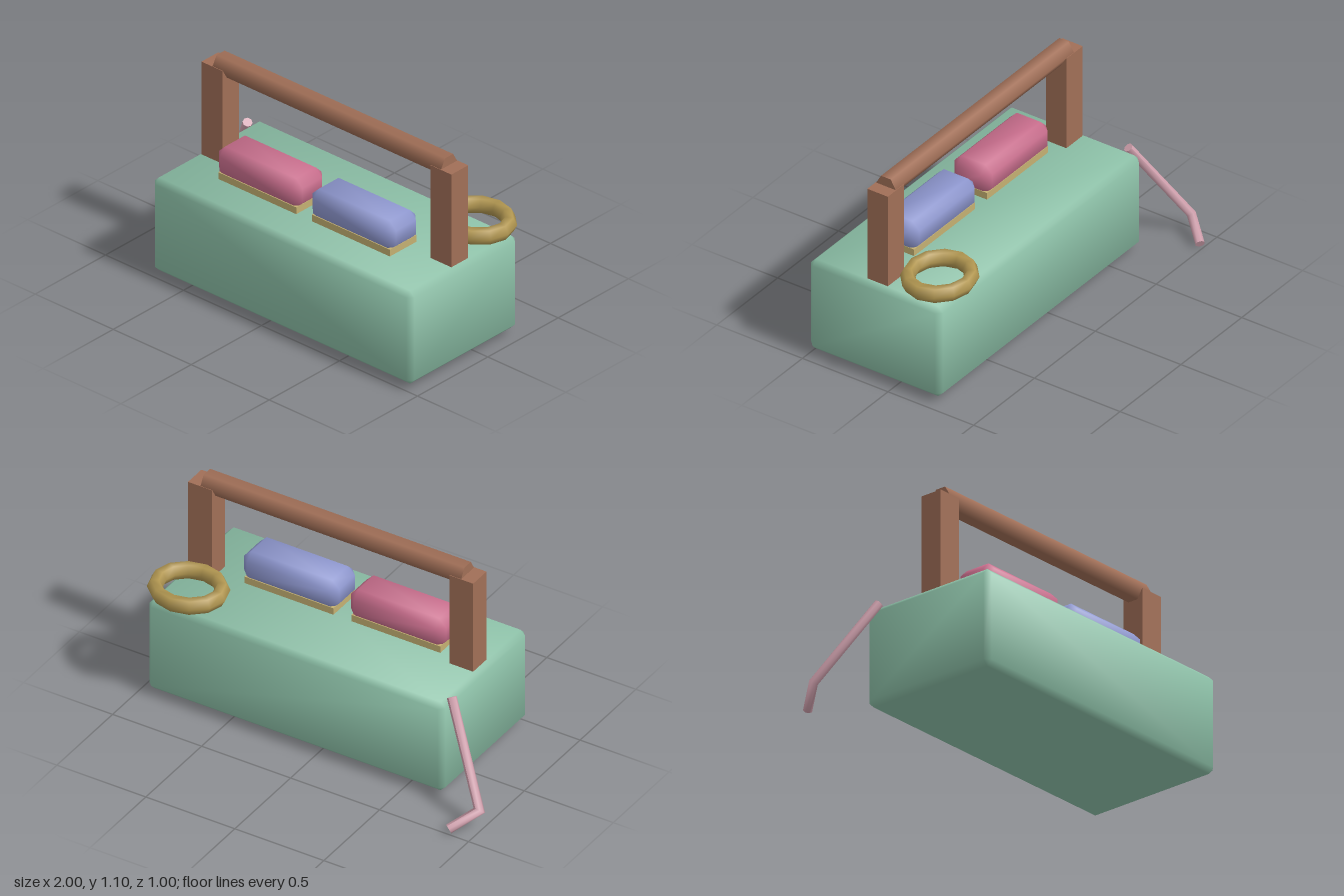
import * as THREE from 'three';
import { ConvexGeometry } from 'three/addons/geometries/ConvexGeometry.js';

const paint = (name, color) => {
  const m = new THREE.MeshStandardMaterial({ color });
  m.name = name;
  return m;
};

// Box with single chamfers and soft blended normals
function chamferBox(size, c) {
  const h = size.map((s) => s / 2);
  const pts = [];
  for (const x of [-1, 1]) for (const y of [-1, 1]) for (const z of [-1, 1])
    for (let k = 0; k < 3; k++)
      pts.push(new THREE.Vector3(...[x, y, z].map((s, i) => s * (h[i] - (i === k ? 0 : c)))));
  const g = new ConvexGeometry(pts);
  const p = g.attributes.position;
  const n = new THREE.Vector3();
  for (let i = 0; i < p.count; i++) {
    const v = [p.getX(i), p.getY(i), p.getZ(i)];
    n.set(...v.map((a, k) => Math.sign(a) * (Math.abs(a) > h[k] - c / 2 ? 1 : 0.39))).normalize();
    g.attributes.normal.setXYZ(i, n.x, n.y, n.z);
  }
  return g;
}

// Bent rod through three points with a mitred elbow
function bentRod(p0, p1, p2, radius, sides) {
  const d1 = p1.clone().sub(p0).normalize();
  const d2 = p2.clone().sub(p1).normalize();
  const miter = d1.clone().add(d2).normalize();
  const u = new THREE.Vector3(0, 0, 1).cross(d1).normalize();
  const v = u.clone().cross(d1);
  const g = new THREE.CylinderGeometry(radius, radius, 2, sides, 2);
  const p = g.attributes.position;
  for (let i = 0; i < p.count; i++) {
    const ring = Math.round(p.getY(i)) + 1;
    const off = u.clone().multiplyScalar(p.getX(i)).addScaledVector(v, p.getZ(i));
    if (ring > 0) off.addScaledVector(d1, -off.dot(miter) / d1.dot(miter));
    if (ring > 1) off.addScaledVector(d2, -off.dot(d2));
    off.add([p0, p1, p2][ring]);
    p.setXYZ(i, off.x, off.y, off.z);
  }
  g.computeVertexNormals();
  return g;
}

export function createModel() {
  const model = new THREE.Group();
  const green = paint('body green', 0x8dc1a8);
  const brown = paint('handle brown', 0xa16f57);
  const brass = paint('ring brass', 0xb29751);
  const tan = paint('pad tan', 0xc4b072);
  const rose = paint('button rose', 0xc96e8d);
  const violet = paint('button violet', 0x8e97cf);
  const pink = paint('crank pink', 0xd0a0ad);

  const add = (name, geometry, material, x = 0, y = 0, z = 0) => {
    const m = new THREE.Mesh(geometry, material);
    m.name = name;
    m.position.set(x, y, z);
    model.add(m);
    return m;
  };

  add('body', chamferBox([1.665, 0.51, 0.77], 0.028), green, 0.123, 0.285, 0.115);

  // Handle: two posts and a six-sided bar
  for (const [name, x] of [['rightPost', -0.611], ['leftPost', 0.857]])
    add(name, new THREE.BoxGeometry(0.134, 0.52, 0.12), brown, x, 0.79, 0.115);
  const bar = new THREE.CylinderGeometry(0.057, 0.057, 1.465, 6);
  bar.rotateY(Math.PI / 2).rotateZ(Math.PI / 2);
  // turn so that a flat side lies on top
  bar.computeBoundingBox();
  if (bar.boundingBox.max.y > 0.053) bar.rotateX(Math.PI / 6);
  add('handleBar', bar, brown, 0.123, 1.05, 0.115);

  // Buttons on thin pads
  for (const [side, x, material] of [['right', -0.212, rose], ['left', 0.388, violet]]) {
    add(side + 'Pad', new THREE.BoxGeometry(0.5, 0.05, 0.19), tan, x, 0.552, 0.2);
    add(side + 'Button', chamferBox([0.535, 0.16, 0.22], 0.04), material, x, 0.637, 0.2);
  }

  // Ring lying flat at the back corner
  const ring = new THREE.TorusGeometry(0.165, 0.04, 6, 12).rotateX(Math.PI / 2);
  add('ring', ring, brass, 0.79, 0.607, -0.153).scale.set(1, 1.08, 0.9);

  // Crank on the side
  add('crank', bentRod(
    new THREE.Vector3(-0.71, 0.548, -0.188),
    new THREE.Vector3(-0.977, 0.095, -0.367),
    new THREE.Vector3(-0.88, 0.022, -0.487), 0.024, 8), pink);

  return model;
}
